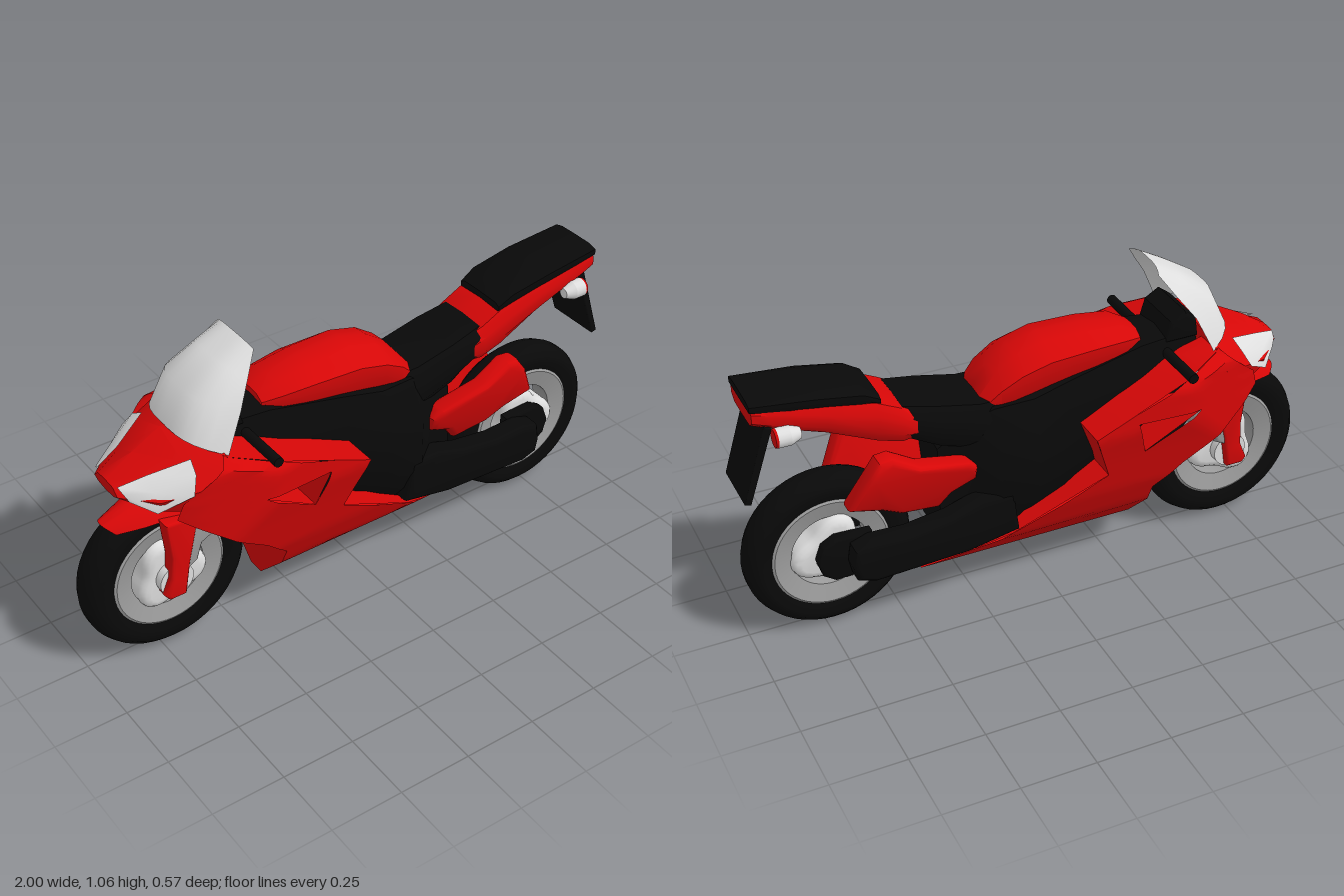
import * as THREE from 'three';
import { mergeGeometries, toCreasedNormals } from 'three/addons/utils/BufferGeometryUtils.js';

const mat = (name, color) => {
  const m = new THREE.MeshStandardMaterial({ color, side: THREE.DoubleSide });
  m.name = name;
  return m;
};
const smooth = (g, angle = 0.75) => toCreasedNormals(g, angle);

function buffer(points, index) {
  const g = new THREE.BufferGeometry();
  g.setAttribute('position', new THREE.Float32BufferAttribute(points.flat(), 3));
  g.setIndex(index);
  return g;
}

// open surface through rows of points
function grid(rows) {
  const n = rows[0].length, index = [];
  for (let i = 0; i < rows.length - 1; i++) {
    for (let j = 0; j < n - 1; j++) {
      const a = i * n + j, b = a + n;
      index.push(a, a + 1, b + 1, a, b + 1, b);
    }
  }
  return buffer(rows.flat(), index);
}

// closed body along x; each section is [x, half ring of [y, z] from top to bottom]
function loft(sections) {
  const rings = sections.map(([x, half]) => [
    ...half.map(([y, z]) => [x, y, z]),
    ...half.filter((p) => p[1] > 0).reverse().map(([y, z]) => [x, y, -z]),
  ]);
  const n = rings[0].length, last = (rings.length - 1) * n, index = [];
  for (let i = 0; i < rings.length - 1; i++) {
    for (let j = 0; j < n; j++) {
      const a = i * n + j, b = i * n + (j + 1) % n;
      index.push(a, b, b + n, a, b + n, a + n);
    }
  }
  for (let j = 1; j < n - 1; j++) index.push(0, j + 1, j, last, last + j, last + j + 1);
  return smooth(buffer(rings.flat(), index));
}

// section with rounded shoulders: top, bottom, half widths at top, middle and bottom
const oval = (x, top, bottom, wt, wm, wb) => {
  const h = top - bottom;
  return [x, [[top, 0], [top - h * 0.04, wt], [top - h * 0.3, wm], [bottom + h * 0.3, wm],
    [bottom + h * 0.03, wb], [bottom, 0]]];
};

// curved sheet; rows are [centre x, centre y, edge x, edge y, edge z]
function shell(rows, power = 2, n = 12) {
  return smooth(grid(rows.map(([cx, cy, ex, ey, ez]) => Array.from({ length: n + 1 }, (_, i) => {
    const t = (i / n) * 2 - 1, k = Math.abs(t) ** power;
    return [cx + (ex - cx) * k, cy + (ey - cy) * k, ez * t];
  }))), 1);
}

// bevelled slab with its outline in x and y
function slab(pts, z, depth, bevel = 0.015) {
  const shape = new THREE.Shape(pts.map((p) => new THREE.Vector2(...p)));
  const g = new THREE.ExtrudeGeometry(shape, { depth: depth - 2 * bevel, bevelThickness: bevel,
    bevelSize: bevel, bevelOffset: -bevel, bevelSegments: 3, curveSegments: 8 });
  return g.translate(0, 0, z + bevel);
}

// piecewise linear lookup
function lookup(table, v) {
  if (v <= table[0][0]) return table[0][1];
  for (let i = 1; i < table.length; i++) {
    const [a, fa] = table[i - 1], [b, fb] = table[i];
    if (v <= b) return fa + (fb - fa) * (v - a) / (b - a);
  }
  return table[table.length - 1][1];
}

// half width of the fairing
const byHeight = [[0.1, 0.03], [0.23, 0.16], [0.35, 0.215], [0.5, 0.255], [0.6, 0.285], [0.71, 0.287], [0.74, 0.265], [0.78, 0.2]];
const byLength = [[-0.87, 0.06], [-0.78, 0.16], [-0.68, 0.215], [-0.57, 0.25], [-0.45, 0.285]];
const fairingZ = (x, y) => Math.min(lookup(byHeight, y), lookup(byLength, x));

function patch(a, b, c, d, n = 6) {
  const mix = (p, q, t) => p.map((v, i) => v + (q[i] - v) * t);
  const rows = [];
  for (let i = 0; i <= n; i++) {
    rows.push(Array.from({ length: n + 1 }, (_, j) => {
      const [x, y] = mix(mix(a, b, i / n), mix(d, c, i / n), j / n);
      return [x, y, fairingZ(x, y)];
    }));
  }
  return grid(rows);
}

export function createModel() {
  const model = new THREE.Group();
  model.name = 'motorcycle';
  const red = mat('red paint', 0xd60707), black = mat('black', 0x090909);
  const grey = mat('grey metal', 0x9c9c9c), pale = mat('pale grey', 0xdedede);

  const add = (name, geometry, material, parent = model) => {
    const m = new THREE.Mesh(geometry, material);
    m.name = name;
    parent.add(m);
    return m;
  };
  const pair = (name, geometry, material) => {
    add(name + 'Left', geometry, material);
    add(name + 'Right', geometry, material).scale.z = -1;
  };

  // wheels
  const ring = (pts) => smooth(new THREE.LatheGeometry(pts.map((p) => new THREE.Vector2(...p)), 48).rotateX(Math.PI / 2));
  const lobes = Array.from({ length: 48 }, (_, i) => {
    const a = (i / 48) * Math.PI * 2, r = 0.115 + 0.022 * Math.cos(3 * a + 0.6);
    return [r * Math.cos(a), r * Math.sin(a)];
  });
  for (const [name, x, r] of [['frontWheel', -0.71, 0.29], ['rearWheel', 0.72, 0.28]]) {
    const wheel = new THREE.Group();
    wheel.name = name;
    wheel.position.set(x, r, 0);
    model.add(wheel);
    add('tyre', ring([[0.195, -0.05], [0.23, -0.064], [r - 0.03, -0.06], [r - 0.01, -0.04], [r, -0.015],
      [r, 0.015], [r - 0.01, 0.04], [r - 0.03, 0.06], [0.23, 0.064], [0.195, 0.05]]), black, wheel);
    add('rim', ring([[0.13, -0.04], [0.19, -0.056], [0.2, -0.05], [0.2, 0.05], [0.19, 0.056], [0.13, 0.04],
      [0.13, -0.04]]), grey, wheel);
    add('spokes', smooth(slab(lobes, -0.07, 0.14, 0.03)), pale, wheel);
    add('hub', new THREE.CylinderGeometry(0.06, 0.06, 0.2, 24).rotateX(Math.PI / 2), pale, wheel);
  }

  // front fork and fender
  pair('forkLeg', smooth(slab([[-0.765, 0.26], [-0.75, 0.24], [-0.69, 0.24], [-0.68, 0.3], [-0.67, 0.36], [-0.63, 0.53],
    [-0.75, 0.54], [-0.735, 0.4], [-0.74, 0.32]], 0.07, 0.055, 0.012)), red);
  pair('forkTube', smooth(slab([[-0.7, 0.32], [-0.64, 0.35], [-0.62, 0.41], [-0.54, 0.45], [-0.54, 0.64], [-0.64, 0.64]], 0.075, 0.045)), grey);
  add('frontFender', shell([[-0.91, 0.545, -0.88, 0.52, 0.05], [-0.8, 0.59, -0.8, 0.53, 0.08],
    [-0.68, 0.615, -0.68, 0.53, 0.095], [-0.57, 0.6, -0.6, 0.52, 0.08]]), red);

  // nose, headlights and windshield
  add('nose', loft([
    [-0.875, [[0.7, 0], [0.698, 0.045], [0.675, 0.07], [0.665, 0.05], [0.66, 0]]],
    [-0.78, [[0.762, 0], [0.722, 0.085], [0.67, 0.162], [0.625, 0.14], [0.615, 0]]],
    [-0.68, [[0.815, 0], [0.762, 0.13], [0.7, 0.215], [0.62, 0.2], [0.6, 0]]],
    [-0.57, [[0.825, 0], [0.782, 0.195], [0.72, 0.25], [0.63, 0.24], [0.6, 0]]],
  ]), red);
  pair('headlight', smooth(grid([
    [[-0.868, 0.705, 0.06], [-0.862, 0.69, 0.085], [-0.85, 0.665, 0.098]],
    [[-0.78, 0.73, 0.088], [-0.785, 0.698, 0.14], [-0.79, 0.632, 0.158]],
    [[-0.66, 0.772, 0.144], [-0.67, 0.745, 0.19], [-0.695, 0.695, 0.218]],
  ]), 1), pale);
  add('windshield', shell([[-0.665, 0.815, -0.56, 0.775, 0.198], [-0.61, 0.94, -0.5, 0.9, 0.178],
    [-0.5, 1.01, -0.445, 0.975, 0.135], [-0.41, 1.058, -0.4, 1.04, 0.1]], 3.5), pale);

  // side fairing around a triangular opening, with inward returns along its edges
  const hole = [[-0.48, 0.62], [-0.25, 0.63], [-0.29, 0.5]];
  const [h1, h2, h3] = hole;
  const returns = (line, inner) => grid([
    line.map(([x, y]) => [x, y, fairingZ(x, y)]), line.map(([x, y]) => [x, y, inner])]);
  pair('sideFairing', smooth(mergeGeometries([
    patch([-0.72, 0.66], [-0.58, 0.78], [-0.42, 0.735], h1),
    patch(h1, [-0.42, 0.735], [-0.24, 0.67], h2),
    patch(h2, [-0.24, 0.67], [-0.1, 0.61], [-0.1, 0.61]),
    patch(h2, [-0.1, 0.61], [-0.17, 0.43], h3),
    patch([-0.74, 0.6], [-0.72, 0.66], h1, [-0.6, 0.5]),
    patch([-0.6, 0.5], h1, h3, [-0.45, 0.39]),
    patch([-0.45, 0.39], h3, [-0.17, 0.43], [-0.36, 0.3]),
    patch([-0.36, 0.3], [-0.17, 0.43], [0.14, 0.25], [-0.36, 0.1]),
    patch([-0.36, 0.1], [0.14, 0.25], [0.25, 0.19], [0.41, 0.1]),
    returns([[-0.58, 0.78], [-0.42, 0.735], [-0.24, 0.67], [-0.1, 0.61], [-0.17, 0.43], [0.14, 0.25], [0.25, 0.19]], 0.1),
    returns([...hole, h1], 0.15),
    returns([[-0.36, 0.3], [-0.36, 0.23], [-0.36, 0.1]], 0),
    returns([[-0.36, 0.1], [0.41, 0.1]], 0),
  ])), red);

  // engine and frame
  add('frame', loft([
    oval(-0.56, 0.8, 0.58, 0.07, 0.1, 0.07), oval(-0.35, 0.81, 0.44, 0.1, 0.14, 0.1),
    oval(-0.1, 0.775, 0.34, 0.13, 0.165, 0.12), oval(0.05, 0.745, 0.25, 0.14, 0.19, 0.1),
    oval(0.18, 0.73, 0.24, 0.12, 0.185, 0.14), oval(0.26, 0.68, 0.24, 0.09, 0.12, 0.13),
    oval(0.36, 0.6, 0.25, 0.08, 0.09, 0.1),
  ]), black);
  add('dashboard', smooth(slab([[-0.56, 0.78], [-0.55, 0.85], [-0.51, 0.88], [-0.46, 0.85], [-0.44, 0.78]], -0.1, 0.2)), black);
  add('handlebar', new THREE.CylinderGeometry(0.017, 0.017, 0.57, 16).rotateX(Math.PI / 2).translate(-0.44, 0.75, 0), black);

  // tank, seat and tail
  add('tank', loft([
    oval(-0.36, 0.83, 0.76, 0.04, 0.07, 0.06), oval(-0.3, 0.86, 0.75, 0.06, 0.1, 0.08),
    oval(-0.18, 0.878, 0.73, 0.06, 0.115, 0.09), oval(-0.02, 0.883, 0.7, 0.06, 0.12, 0.09),
    oval(0.08, 0.855, 0.68, 0.06, 0.12, 0.09), oval(0.15, 0.805, 0.66, 0.06, 0.112, 0.08),
    oval(0.205, 0.735, 0.64, 0.06, 0.095, 0.08),
  ]), red);
  add('seat', loft([oval(0.12, 0.735, 0.5, 0.1, 0.13, 0.1), oval(0.22, 0.735, 0.56, 0.1, 0.13, 0.1),
    oval(0.36, 0.765, 0.61, 0.1, 0.125, 0.1), oval(0.475, 0.788, 0.665, 0.09, 0.115, 0.08)]), black);
  add('tail', loft([oval(0.43, 0.765, 0.66, 0.09, 0.118, 0.09), oval(0.48, 0.79, 0.66, 0.1, 0.122, 0.1),
    oval(0.56, 0.83, 0.685, 0.1, 0.12, 0.1), oval(0.72, 0.865, 0.755, 0.1, 0.115, 0.09),
    oval(0.9, 0.9, 0.815, 0.09, 0.105, 0.08), oval(0.95, 0.908, 0.835, 0.08, 0.1, 0.075)]), red);
  add('pillion', loft([oval(0.545, 0.845, 0.81, 0.08, 0.1, 0.09), oval(0.6, 0.88, 0.83, 0.08, 0.105, 0.1),
    oval(0.75, 0.908, 0.855, 0.075, 0.107, 0.1), oval(0.955, 0.922, 0.893, 0.07, 0.1, 0.1)]), black);
  add('mudFlap', slab([[0.89, 0.825], [0.915, 0.835], [0.995, 0.575], [0.975, 0.57]], -0.1, 0.2, 0.004), black);

  // indicators with red rear lenses
  const barrel = (r0, r1, length, x) => new THREE.CylinderGeometry(r0, r1, length, 16).rotateZ(-Math.PI / 2).translate(x, 0.8, 0.117);
  pair('indicator', mergeGeometries([barrel(0.032, 0.032, 0.04, 0.865), barrel(0.032, 0.018, 0.035, 0.8275)]), pale);
  pair('indicatorLens', barrel(0.03, 0.032, 0.008, 0.889), red);

  // rear side pods, leaning outward towards the top
  const pod = slab([[0.25, 0.48], [0.25, 0.53], [0.28, 0.56], [0.45, 0.6], [0.54, 0.655], [0.585, 0.65], [0.62, 0.6],
    [0.68, 0.475], [0.57, 0.44], [0.5, 0.4], [0.37, 0.385], [0.33, 0.44]], 0.08, 0.08, 0.022);
  const p = pod.attributes.position;
  for (let i = 0; i < p.count; i++) p.setZ(i, p.getZ(i) + Math.min(p.getY(i) - 0.53, 0.06) * 0.3);
  pair('rearPod', smooth(pod), red);

  // swingarm with narrower axle ends
  pair('swingarm', smooth(slab([[0.12, 0.27], [0.3, 0.235], [0.62, 0.22], [0.68, 0.24], [0.69, 0.29], [0.68, 0.35],
    [0.62, 0.37], [0.5, 0.365], [0.36, 0.385], [0.25, 0.42], [0.14, 0.42]], 0.105, 0.085, 0.02)), black);
  pair('axleEnd', smooth(slab([[0.6, 0.22], [0.73, 0.212], [0.77, 0.24], [0.785, 0.29], [0.765, 0.345], [0.72, 0.37],
    [0.6, 0.365]], 0.072, 0.045, 0.01)), black);

  return model;
}
